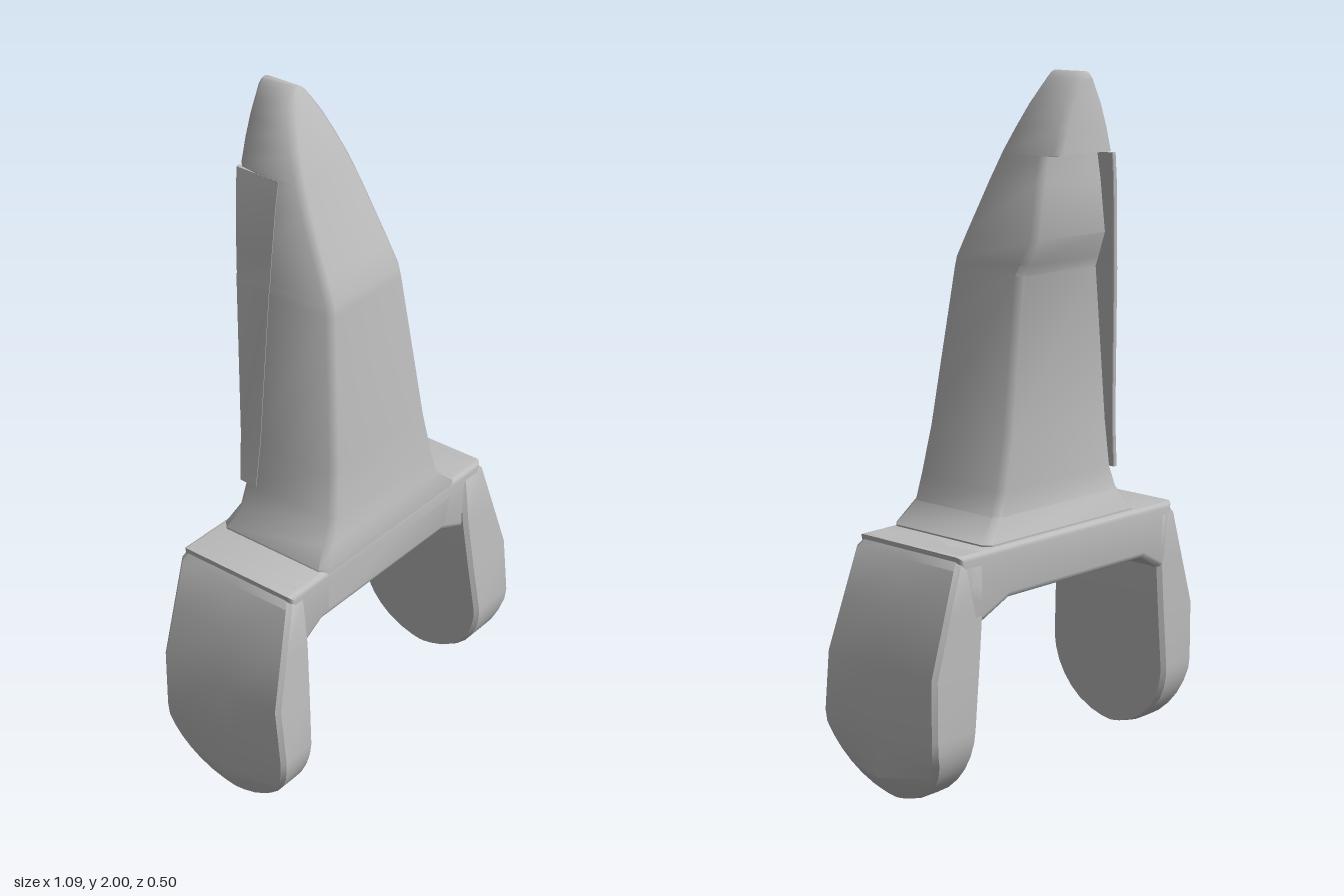
import * as THREE from 'three';
import { toCreasedNormals } from 'three/addons/utils/BufferGeometryUtils.js';

// Closed skin over horizontal rings, each counterclockwise seen from above, listed upward
function loft(rings, crease = 0.86) {
  const pos = [];
  const tri = (a, b, c) => pos.push(...a, ...b, ...c);
  const n = rings[0].length;
  const centre = r => [0, 1, 2].map(k => r.reduce((s, p) => s + p[k], 0) / n);
  const low = rings[0], high = rings[rings.length - 1];
  const lowMid = centre(low), highMid = centre(high);
  for (let j = 0; j < n; j++) {
    const k = (j + 1) % n;
    for (let i = 0; i < rings.length - 1; i++) {
      const r = rings[i], s = rings[i + 1];
      tri(r[j], r[k], s[k]);
      tri(r[j], s[k], s[j]);
    }
    tri(lowMid, low[k], low[j]);
    tri(highMid, high[j], high[k]);
  }
  const geo = new THREE.BufferGeometry();
  geo.setAttribute('position', new THREE.Float32BufferAttribute(pos, 3));
  return toCreasedNormals(geo, crease);
}

// Rectangle with cut corners
function ring(y, x0, x1, z0, z1, c) {
  return [
    [x1 - c, y, z1], [x1, y, z1 - c], [x1, y, z0 + c], [x1 - c, y, z0],
    [x0 + c, y, z0], [x0, y, z0 + c], [x0, y, z1 - c], [x0 + c, y, z1],
  ];
}

const lerp = THREE.MathUtils.lerp;

// Tall spire: height, left edge, right edge, front z, back z
const SPIRE = [
  [0.60, -0.30, 0.28, 0.203, -0.17],
  [0.73, -0.30, 0.32, 0.198, -0.18],
  [0.79, -0.265, 0.25, 0.188, -0.15],
  [0.86, -0.235, 0.235, 0.18, -0.15],
  [1.00, -0.212, 0.21, 0.165, -0.152],
  [1.45, -0.165, 0.163, 0.115, -0.155],
  [1.48, -0.16, 0.16, 0.11, -0.17],
  [1.55, -0.152, 0.152, 0.078, -0.20],
  [1.70, -0.132, 0.132, 0.008, -0.20],
  [1.775, -0.118, 0.118, -0.026, -0.20],
  [1.78, -0.117, 0.117, -0.028, -0.25],
  [1.85, -0.097, 0.097, -0.061, -0.25],
  [1.91, -0.075, 0.075, -0.088, -0.25],
  [1.95, -0.055, 0.055, -0.107, -0.25],
  [1.98, -0.034, 0.034, -0.121, -0.25],
  [1.994, -0.017, 0.017, -0.127, -0.248],
  [2.00, -0.004, 0.004, -0.13, -0.245],
];

function spireGeometry() {
  return loft(SPIRE.map(([y, x0, x1, zf, zb]) =>
    ring(y, x0, x1, zb, zf, Math.min(0.02, (x1 - x0) * 0.2))));
}

// Thin rear fin along one side of the spire's recessed back
function finGeometry() {
  const rows = SPIRE.filter(r => r[0] >= 0.86 && r[0] < 1.78);
  return loft(rows.map(([y, x0]) => {
    const back = lerp(-0.162, -0.25, (y - 0.86) / 0.915);
    return ring(y, x0 - 0.001, x0 + 0.014, back, -0.1, 0.002);
  }), 0.5);
}

// Leg: rounded foot in side profile, outer face cut to a V at the bottom
function legGeometry(side, innerLow, innerHigh, footX) {
  const R = 0.225, outer = 0.545;
  const levels = [0, 0.005, 0.02, 0.045, 0.075, 0.11, 0.15, 0.19, 0.225, 0.4, 0.55, 0.69, 0.725];
  const rings = levels.map(y => {
    let zf, zb;
    if (y < R) {
      const h = Math.max(0.01, Math.sqrt(R * R - (R - y) ** 2));
      zf = 0.025 + h;
      zb = 0.025 - h;
    } else {
      const t = (y - R) / 0.5;
      zf = lerp(0.25, 0.2, t);
      zb = -0.2;
    }
    const xi = lerp(innerLow, innerHigh, Math.min(1, y / 0.53));
    const wide = y <= 0.4 ? outer : lerp(outer, 0.455, (y - 0.4) / 0.3);
    const xo = y > 0.7 ? 0.43 : wide;
    if (y > 0.7) { zf -= 0.02; zb += 0.015; }
    const edge = y < 0.2 ? lerp(footX, outer, y / 0.2) : xo;
    const mid = y < 0.075 ? lerp(footX, outer, y / 0.075) : xo;
    const c = Math.min(0.012, (zf - zb) * 0.2);
    const zm = (zf + zb) / 2;
    const pts = [
      [xi, y, zf - c], [xi + c, y, zf], [edge - c, y, zf], [edge, y, zf - c],
      [mid, y, zm],
      [edge, y, zb + c], [edge - c, y, zb], [xi + c, y, zb], [xi, y, zb + c],
    ].map(([x, py, z]) => [x * side, py, z]);
    return side < 0 ? pts.reverse() : pts;
  });
  return loft(rings, 0.6);
}

// Bridge joining the legs
function bridgeGeometry() {
  const outline = [
    [-0.445, 0.725], [-0.42, 0.53], [-0.39, 0.53], [-0.31, 0.575],
    [0.25, 0.575], [0.35, 0.53], [0.40, 0.53], [0.445, 0.725],
  ];
  const bevel = 0.018;
  const geo = new THREE.ExtrudeGeometry(
    new THREE.Shape(outline.map(p => new THREE.Vector2(...p))), {
      depth: 0.4 - 2 * bevel, bevelEnabled: true, bevelThickness: bevel,
      bevelSize: bevel, bevelOffset: -bevel, bevelSegments: 3,
    });
  geo.translate(0, 0, -0.2 + bevel);
  return toCreasedNormals(geo, 0.6);
}

export function createModel() {
  const grey = new THREE.MeshStandardMaterial({ color: 0xbcbcbc });
  grey.name = 'plain grey';
  const model = new THREE.Group();
  model.name = 'forkedSpire';
  const add = (name, geo) => {
    const mesh = new THREE.Mesh(geo, grey);
    mesh.name = name;
    model.add(mesh);
  };
  add('spire', spireGeometry());
  add('rearFin', finGeometry());
  add('bridge', bridgeGeometry());
  add('leftLeg', legGeometry(1, 0.397, 0.35, 0.476));
  add('rightLeg', legGeometry(-1, 0.43, 0.385, 0.5));
  return model;
}
